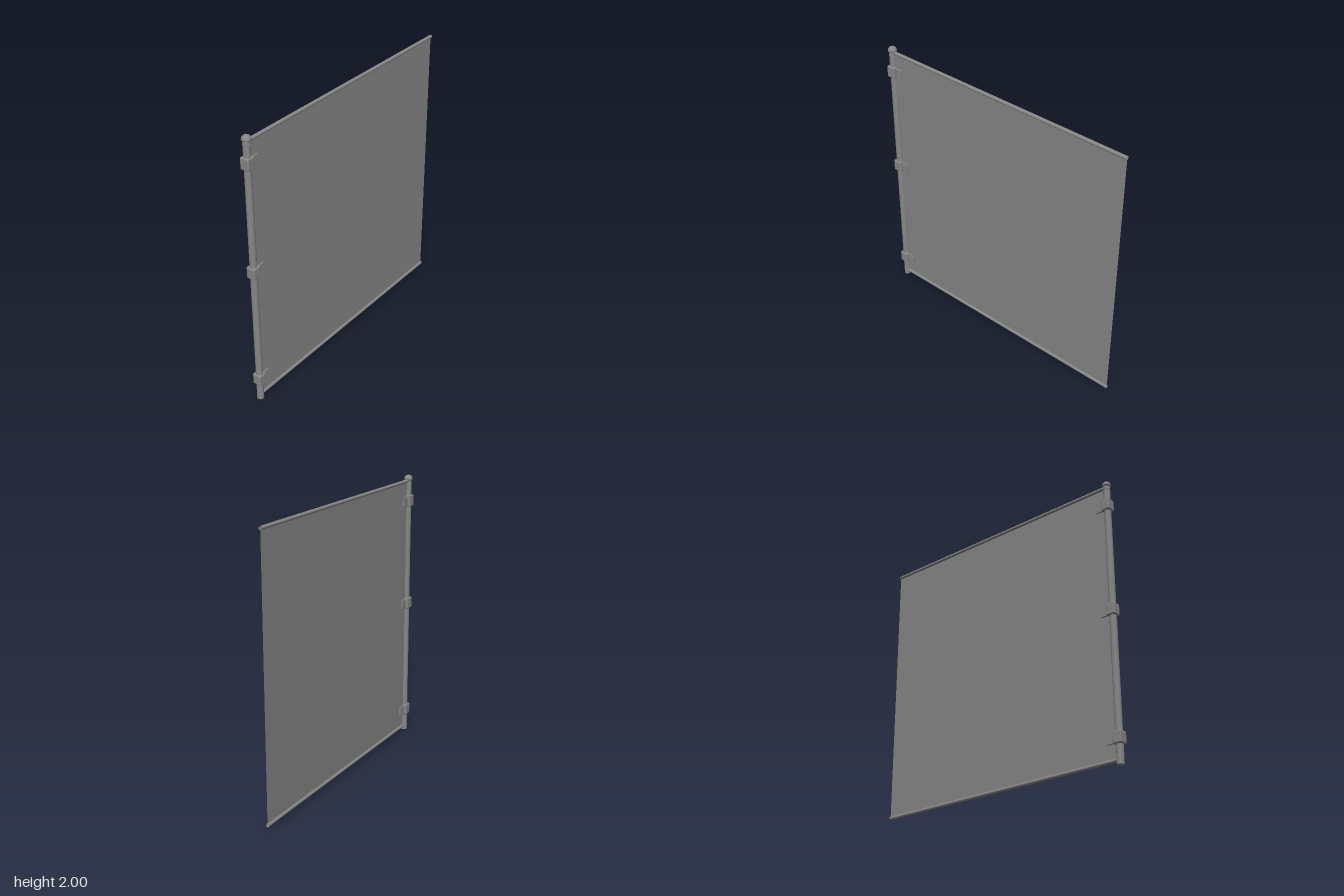
import * as THREE from 'three';
import { RoundedBoxGeometry } from 'three/addons/geometries/RoundedBoxGeometry.js';

export function createModel() {
  const group = new THREE.Group();
  const mat = new THREE.MeshStandardMaterial({ color: 0x878787 });
  const thinMat = new THREE.MeshStandardMaterial({ color: 0x878787, side: THREE.DoubleSide });
  const postX = -0.952, endX = 0.983;

  const add = (name, geometry, x, y, material = mat) => {
    const mesh = new THREE.Mesh(geometry, material);
    mesh.name = name;
    mesh.position.set(x, y, 0);
    group.add(mesh);
    return mesh;
  };

  // Upright post
  add('post', new THREE.CylinderGeometry(0.024, 0.024, 1.96, 32), postX, 0.98);

  // Thin ring just below the cap
  const ring = add('postRing', new THREE.TorusGeometry(0.0235, 0.003, 8, 32), postX, 1.934);
  ring.rotation.x = Math.PI / 2;

  // Domed finial on top of the post
  const dome = [new THREE.Vector2(0, -0.009), new THREE.Vector2(0.024, -0.009)];
  for (let i = 0; i <= 10; i++) {
    const a = -0.2 + (Math.PI / 2 + 0.2) * i / 10;
    dome.push(new THREE.Vector2(i === 10 ? 0 : 0.031 * Math.cos(a), 0.029 * Math.sin(a)));
  }
  add('finial', new THREE.LatheGeometry(dome, 32), postX, 1.971);

  // Thin sheet between the two rails
  const length = endX - postX, midX = (endX + postX) / 2;
  add('panel', new THREE.PlaneGeometry(length, 1.92), midX, 0.995, thinMat);

  // Hollow rails along the upper and lower hems
  for (const [name, y] of [['topRail', 1.957], ['bottomRail', 0.032]]) {
    const tube = new THREE.CylinderGeometry(0.0125, 0.0125, length, 24, 1, true);
    add(name, tube, midX, y, thinMat).rotation.z = Math.PI / 2;
  }

  // Clamps: a soft-edged block round the post with a tab gripping the sheet
  for (const y of [0.17, 1.033, 1.812]) {
    add('clampBlock', new RoundedBoxGeometry(0.064, 0.084, 0.066, 3, 0.009), postX, y);
    add('clampTab', new THREE.BoxGeometry(0.088, 0.06, 0.022), postX + 0.042, y);
  }

  return group;
}
